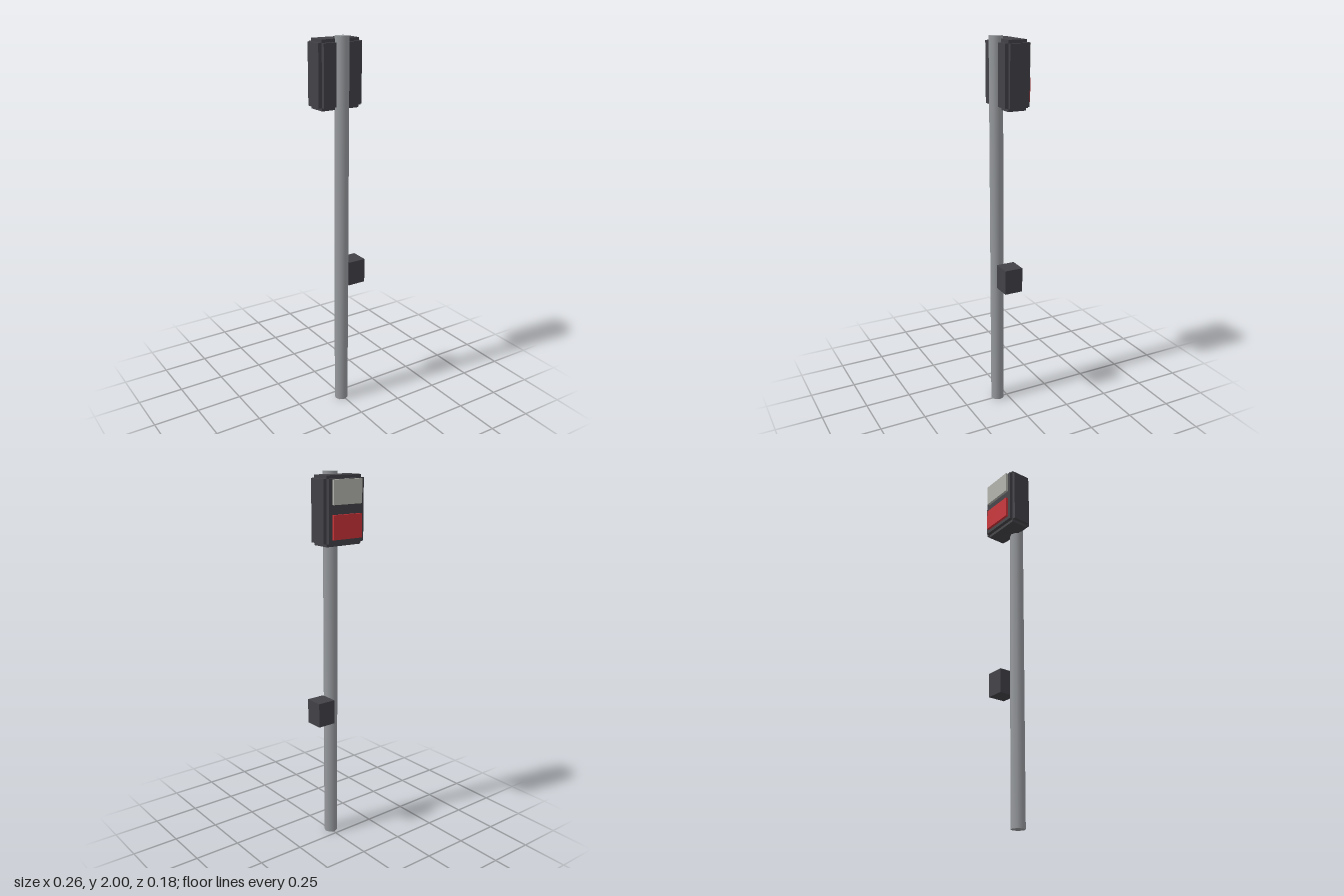
import * as THREE from 'three';

const material = (color) => new THREE.MeshStandardMaterial({ color });

export function createModel() {
  const model = new THREE.Group();
  const dark = material(0x424247);
  const poleGrey = material(0x96999d);
  const paleGrey = material(0xb2b2ac);
  const red = material(0xc83238);

  // Box given by its minimum and maximum corners
  const addBox = (parent, name, mat, min, max) => {
    const size = max.map((v, i) => v - min[i]);
    const mesh = new THREE.Mesh(new THREE.BoxGeometry(...size), mat);
    mesh.position.set(...min.map((v, i) => (v + max[i]) / 2));
    mesh.name = name;
    parent.add(mesh);
  };

  // Eight-sided pole
  const pole = new THREE.Mesh(new THREE.CylinderGeometry(0.037, 0.037, 2, 8), poleGrey);
  pole.position.set(-0.007, 1, 0.055);
  pole.name = 'pole';
  model.add(pole);

  // Signal housing: a core box pushed out along each axis, leaving stepped edges
  const housing = new THREE.Group();
  housing.name = 'signalHousing';
  const coreMin = [-0.113, 1.66, -0.057];
  const coreMax = [0.1, 1.97, 0.042];
  const step = [0.019, 0.016, 0.019];
  ['housingSides', 'housingTopAndBottom', 'housingFaces'].forEach((name, axis) => {
    const min = coreMin.map((v, i) => (i === axis ? v - step[i] : v));
    const max = coreMax.map((v, i) => (i === axis ? v + step[i] : v));
    addBox(housing, name, dark, min, max);
  });
  model.add(housing);

  // Signal panels, facing -z
  addBox(model, 'upperPanel', paleGrey, [-0.095, 1.848, -0.09], [0.08, 1.968, -0.07]);
  addBox(model, 'lowerPanel', red, [-0.095, 1.68, -0.09], [0.08, 1.8, -0.07]);

  // Push-button box on the side of the pole
  addBox(model, 'buttonBox', dark, [0.03, 0.69, -0.026], [0.13, 0.822, 0.073]);

  return model;
}
